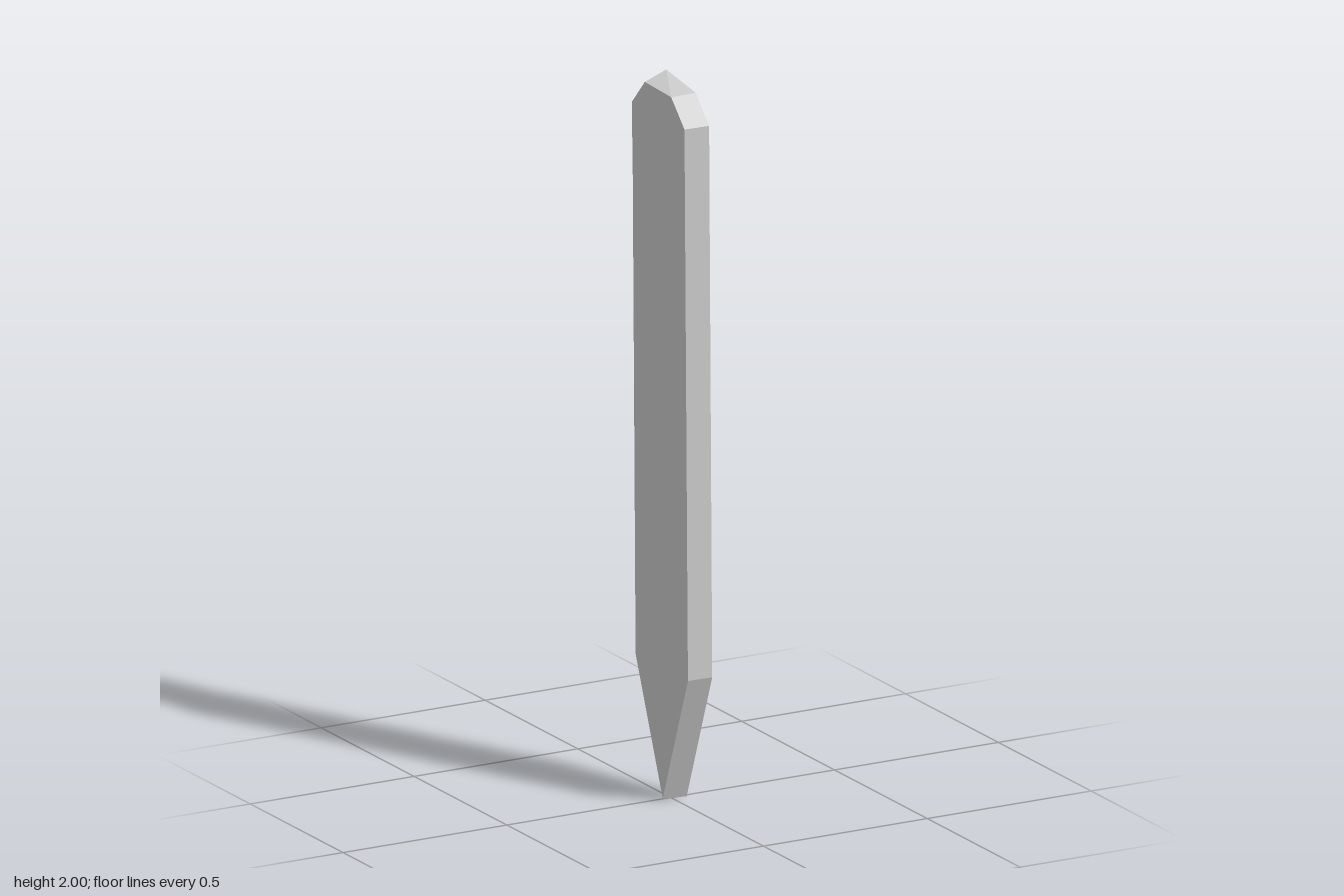
import * as THREE from 'three';

// Outline corners, anticlockwise seen from +x: [z, y] on the +x face, [z, y] on the -x face
const OUTLINE = [
  [[0.012, 0], [0.012, 0.005]],
  [[-0.13, 0.37], [-0.13, 0.37]],
  [[-0.13, 1.7], [-0.13, 1.7]],
  [[-0.157, 1.92], [-0.133, 1.905]],
  [[-0.075, 2.0], [-0.062, 1.98]],
  [[0.084, 1.978], [0.08, 1.976]],
  [[0.155, 1.905], [0.151, 1.905]],
  [[0.154, 0.37], [0.152, 0.37]],
];

// The board leans slightly toward -x as it rises
const lean = (y) => -0.0065 * y;

export function createModel() {
  const right = OUTLINE.map(([[z, y]]) => [0.042 + lean(y), y, z]);
  const left = OUTLINE.map(([, [z, y]]) => [-0.031 + lean(y), y, z]);
  const positions = [];
  const tri = (a, b, c) => positions.push(...a, ...b, ...c);

  // Broad faces
  const contour = OUTLINE.map(([[z, y]]) => new THREE.Vector2(-z, y));
  for (const [a, b, c] of THREE.ShapeUtils.triangulateShape(contour, [])) {
    tri(right[a], right[b], right[c]);
    tri(left[c], left[b], left[a]);
  }

  // Narrow edges around the outline
  for (let i = 0; i < OUTLINE.length; i++) {
    const j = (i + 1) % OUTLINE.length;
    tri(right[i], left[i], left[j]);
    tri(right[i], left[j], right[j]);
  }

  const geometry = new THREE.BufferGeometry();
  geometry.setAttribute('position', new THREE.Float32BufferAttribute(positions, 3));
  geometry.computeVertexNormals();

  const stake = new THREE.Mesh(
    geometry,
    new THREE.MeshStandardMaterial({ color: 0xcccccc, flatShading: true })
  );
  stake.name = 'woodenStake';

  const group = new THREE.Group();
  group.name = 'stake';
  group.add(stake);
  return group;
}
